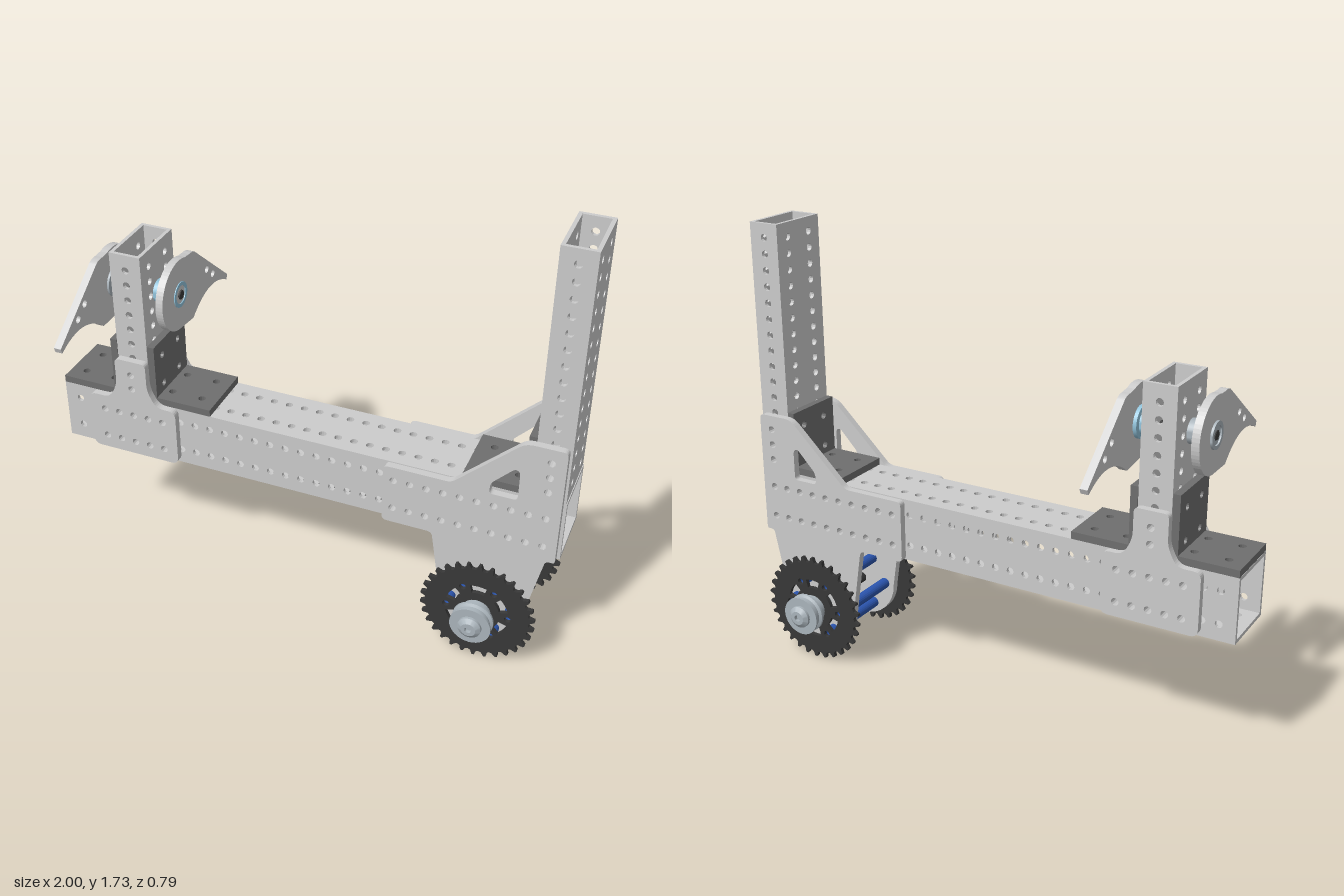
import * as THREE from 'three';
import { toCreasedNormals } from 'three/addons/utils/BufferGeometryUtils.js';

const PITCH = 0.0625, HOLE = 0.0145, WALL = 0.014;
const material = (color) => new THREE.MeshStandardMaterial({ color });
const GREY = material(0xcccccc);
const BRACKET = material(0x6e6e6e);
const DARK = material(0x383838);
const BLUE = material(0x2c56b0);
const STEEL = material(0xaab4bb);
const PALE = material(0x92c4dc);

function add(parent, name, geometry, mat, x = 0, y = 0, z = 0) {
  const mesh = new THREE.Mesh(geometry, mat);
  mesh.name = name;
  mesh.position.set(x, y, z);
  parent.add(mesh);
  return mesh;
}

// closed path from [x, y, cornerRadius] points
function rounded(points, path = new THREE.Shape()) {
  const v = points.map(([x, y]) => new THREE.Vector2(x, y));
  points.forEach(([, , r = 0], i) => {
    const p = v[i], a = v[(i + v.length - 1) % v.length], b = v[(i + 1) % v.length];
    const s = a.clone().sub(p).setLength(r).add(p);
    const e = b.clone().sub(p).setLength(r).add(p);
    if (i === 0) path.moveTo(s.x, s.y); else path.lineTo(s.x, s.y);
    if (r) path.quadraticCurveTo(p.x, p.y, e.x, e.y);
  });
  path.closePath();
  return path;
}

function circle(x, y, r = HOLE) {
  return new THREE.Path().absarc(x, y, r, 0, Math.PI * 2);
}

// shape extruded along z, centred on z = 0
function plate(shape, depth, holes = [], curveSegments = 6) {
  shape.holes.push(...holes);
  return new THREE.ExtrudeGeometry(shape, { depth, bevelEnabled: false, curveSegments })
    .translate(0, 0, -depth / 2);
}

function rect(w, h) {
  return rounded([[-w / 2, -h / 2], [w / 2, -h / 2], [w / 2, h / 2], [-w / 2, h / 2]]);
}

// one perforated wall of a tube
function wall(length, width, rows, count) {
  const holes = [];
  for (const y of rows) {
    for (let i = 0; i < count; i++) holes.push(circle((i - (count - 1) / 2) * PITCH, y));
  }
  return plate(rect(length, width), WALL, holes);
}

// perforated rectangular tube along x
function tube(name, length, height, depth, count) {
  const g = new THREE.Group();
  g.name = name;
  const rows = (w) => (w > 0.2 ? [-PITCH, PITCH] : [0]);
  for (const s of [-1, 1]) {
    add(g, 'tubeSide', wall(length, height, rows(height), count), GREY, 0, 0, s * (depth - WALL) / 2);
    add(g, 'tubeFace', wall(length, depth - 2 * WALL, rows(depth), count).rotateX(Math.PI / 2),
      GREY, 0, s * (height - WALL) / 2, 0);
  }
  return g;
}

// angle bracket with its corner at x, foot pointing along dir
function bracket(x, dir) {
  const g = new THREE.Group();
  g.name = 'angleBracket';
  const t = 0.028;
  const leg = () => {
    const holes = [];
    for (const a of [-PITCH, PITCH]) for (const b of [-PITCH, PITCH]) holes.push(circle(a, b));
    return plate(rect(0.25, 0.25), t, holes);
  };
  add(g, 'bracketFoot', leg().rotateX(Math.PI / 2), BRACKET, x + dir * 0.125, 0.752 + t / 2, 0);
  add(g, 'bracketLeg', leg().rotateY(Math.PI / 2), BRACKET, x + dir * t / 2, 0.877, 0);
  return g;
}

// lathe around z from [radius, distance] points
function turned(points, segments = 32) {
  const lathe = new THREE.LatheGeometry(points.map(([r, h]) => new THREE.Vector2(r, h)), segments);
  return toCreasedNormals(lathe.rotateX(Math.PI / 2), 0.6);
}

function sprocket() {
  const teeth = 30, pts = [], holes = [circle(0, 0, 0.03)];
  for (let i = 0; i < teeth; i++) {
    for (const [f, r] of [[0, 0.196], [0.25, 0.2], [0.42, 0.219], [0.62, 0.219], [0.8, 0.2]]) {
      const a = ((i + f) / teeth) * Math.PI * 2;
      pts.push([r * Math.cos(a), r * Math.sin(a)]);
    }
  }
  for (let i = 0; i < 6; i++) {
    const a = (i * Math.PI) / 3;
    holes.push(circle(0.118 * Math.cos(a), 0.118 * Math.sin(a), 0.013));
    const slot = new THREE.Path();
    slot.absarc(0, 0, 0.122, a + 0.26, a + 0.79, false);
    slot.absarc(0, 0, 0.088, a + 0.79, a + 0.26, true);
    slot.closePath();
    holes.push(slot);
  }
  return plate(rounded(pts), 0.016, holes);
}

// teardrop fin around its hub, tip along +x
function fin(tilt) {
  const s = new THREE.Shape();
  s.moveTo(0.39, -0.115);
  s.lineTo(0.398, -0.095);
  s.lineTo(0.125, 0.12);
  s.quadraticCurveTo(0.11, 0.132, 0.08, 0.13);
  s.absarc(0, 0, 0.14, 1.25, Math.PI * 1.5, false);
  s.lineTo(0.1, -0.146);
  s.quadraticCurveTo(0.24, -0.03, 0.39, -0.115);
  return plate(s, 0.029, [circle(0.22, 0.005), circle(0.27, -0.035)], 16).rotateZ(tilt);
}

export function createModel() {
  const root = new THREE.Group();
  const frame = new THREE.Group();
  frame.name = 'frame';
  frame.position.z = -0.006;
  root.add(frame);

  // beam and posts
  const beam = tube('beam', 2, 0.25, 0.25, 31);
  beam.position.y = 0.627;
  const tallPost = tube('tallPost', 0.985, 0.125, 0.25, 15);
  tallPost.position.set(0.9345, 1.2425, 0);
  const shortPost = tube('shortPost', 0.625, 0.125, 0.25, 9);
  shortPost.position.set(-0.685, 1.0625, 0);
  tallPost.rotation.z = shortPost.rotation.z = Math.PI / 2;
  frame.add(beam, tallPost, shortPost);
  frame.add(bracket(0.872, -1), bracket(-0.749, -1), bracket(-0.621, 1));

  // gusset plates on both sides
  const wx = 0.735, wy = 0.224;
  const beamHoles = (from, to) => {
    const list = [];
    for (let x = from; x <= to + 0.001; x += PITCH) list.push(circle(x, 0.6895), circle(x, 0.5645));
    return list;
  };
  const arc = [];
  for (let i = 0; i <= 16; i++) {
    const a = Math.PI * (1 + i / 16);
    arc.push([wx + 0.162 * Math.cos(a), wy + 0.162 * Math.sin(a)]);
  }
  const spokes = [0, 1, 2, 3, 4, 5].map((i) => [
    wx + 0.118 * Math.cos((i * Math.PI) / 3), wy + 0.118 * Math.sin((i * Math.PI) / 3)]);
  for (const s of [-1, 1]) {
    const z = s * 0.139;
    const legPlate = rounded([[0.335, 0.5, 0.02], [0.53, 0.5, 0.02], ...arc, [0.955, 0.5, 0.015],
      [0.988, 0.5, 0.01], [0.988, 0.987, 0.02], [0.84, 0.987, 0.03], [0.59, 0.748, 0.02], [0.335, 0.748, 0.02]]);
    const window = rounded([[0.73, 0.74, 0.015], [0.832, 0.74, 0.015], [0.832, 0.872, 0.025],
      [0.81, 0.868, 0.01], [0.73, 0.785, 0.02]], new THREE.Path());
    add(frame, 'legPlate', plate(legPlate, 0.028, [window, ...beamHoles(0.375, 0.9375),
      ...[0.805, 0.8675, 0.93].map((y) => circle(0.9345, y)),
      ...spokes.map(([x, y]) => circle(x, y, 0.013))]), GREY, 0, 0, z);

    const postPlate = rounded([[-0.875, 0.508, 0.03], [-0.505, 0.508, 0.03], [-0.505, 0.752, 0.03],
      [-0.585, 0.752, 0.03], [-0.62, 0.82, 0.03], [-0.62, 0.937, 0.02], [-0.75, 0.937, 0.02],
      [-0.75, 0.82, 0.03], [-0.785, 0.752, 0.03], [-0.875, 0.752, 0.03]]);
    add(frame, 'postPlate', plate(postPlate, 0.028, [...beamHoles(-0.8125, -0.56),
      circle(-0.685, 0.8125), circle(-0.685, 0.875)]), GREY, 0, 0, z);

    // sprocket and hub
    add(frame, 'sprocket', sprocket(), DARK, wx, wy, s * 0.196);
    const hub = add(frame, 'wheelHub', turned([[0, 0.15], [0.055, 0.15], [0.055, 0.24], [0.078, 0.243],
      [0.078, 0.252], [0.068, 0.258], [0.068, 0.274], [0.078, 0.28], [0.078, 0.288], [0.045, 0.288],
      [0.045, 0.298], [0.028, 0.31], [0.013, 0.31], [0.013, 0.296], [0, 0.296]]), STEEL, wx, wy, 0);
    if (s < 0) hub.rotation.y = Math.PI;
  }

  // hollow standoffs and axle between the sprockets
  for (const [x, y] of spokes) {
    const ring = new THREE.Shape().absarc(0, 0, 0.022, 0, Math.PI * 2);
    add(frame, 'standoff', plate(ring, 0.376, [circle(0, 0, 0.013)], 10), BLUE, x, y, 0);
  }
  add(frame, 'wheelAxle', new THREE.CylinderGeometry(0.024, 0.024, 0.32, 6).rotateX(Math.PI / 2), DARK, wx, wy, 0);

  // fins with their hubs on the short post
  const fy = 1.185;
  add(root, 'leftFin', fin(-0.055).rotateY(Math.PI / 2), GREY, -0.545, fy, 0);
  add(root, 'rightFin', fin(0.055).rotateY(-Math.PI / 2), GREY, -0.82, fy, 0);
  add(root, 'finAxle', new THREE.CylinderGeometry(0.018, 0.018, 0.318, 6).rotateZ(Math.PI / 2), DARK, -0.6825, fy, 0);
  for (const s of [-1, 1]) {
    const spool = turned([[0, 0], [0.045, 0], [0.045, 0.045], [0.06, 0.048], [0.06, 0.062],
      [0.05, 0.062], [0.05, 0.094], [0.036, 0.094], [0.036, 0.088], [0, 0.088]]);
    const x = s > 0 ? -0.621 : -0.749;
    add(root, 'finHub', spool.rotateY((s * Math.PI) / 2), s > 0 ? PALE : STEEL, x, fy, 0);
  }
  return root;
}
